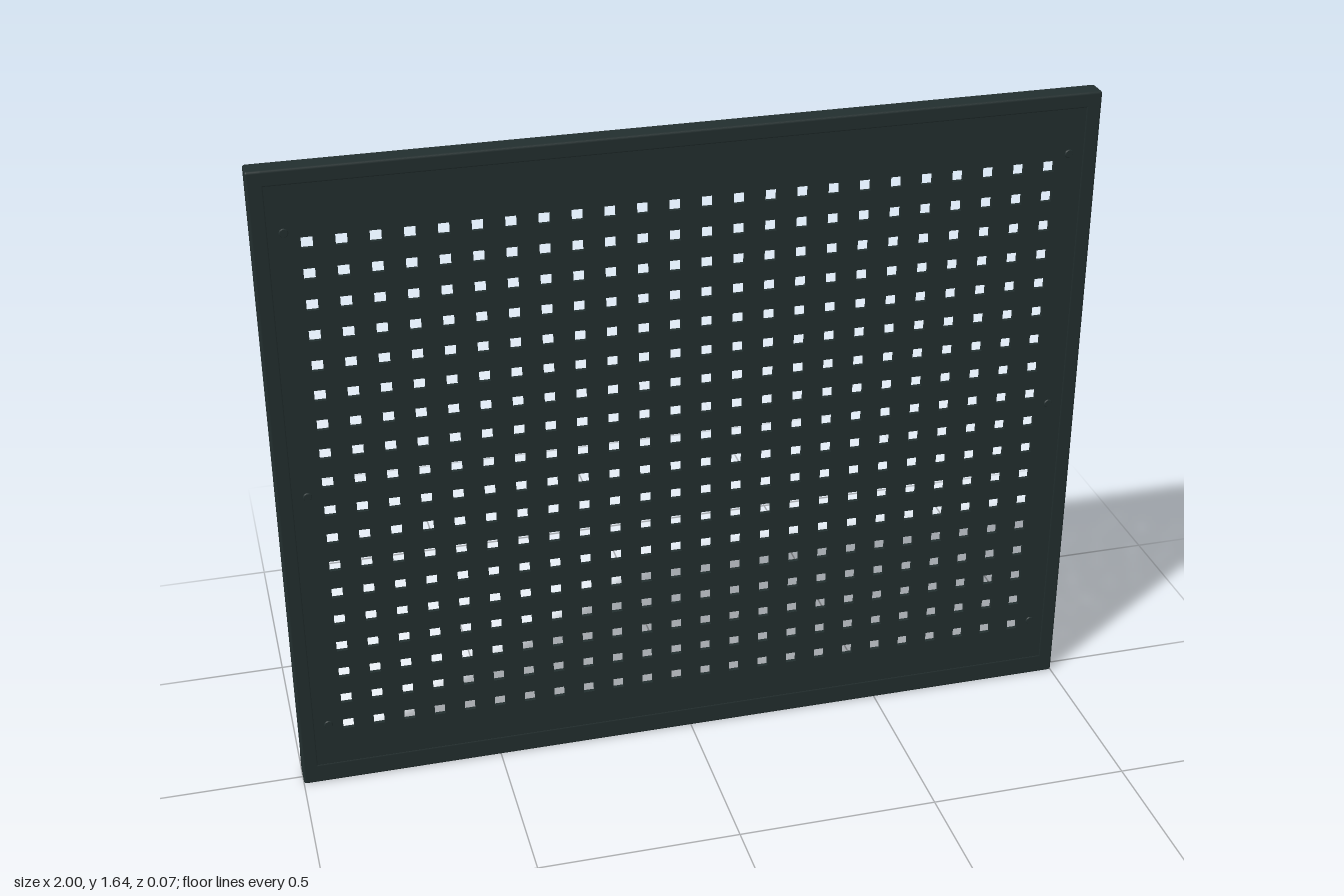
import * as THREE from 'three';
import { RoundedBoxGeometry } from 'three/addons/geometries/RoundedBoxGeometry.js';

const HEIGHT = 1.64, FRONT = 0.034, BACK = -0.018, LIP_BACK = -0.036;
const SIDE = 0.04, BOTTOM = 0.055;

export function createModel() {
  const model = new THREE.Group();
  const darkMetal = new THREE.MeshStandardMaterial({ color: 0x222e2e });
  darkMetal.name = 'dark green grey metal';

  const add = (geometry, name, x, y, z) => {
    const mesh = new THREE.Mesh(geometry, darkMetal);
    mesh.name = name;
    mesh.position.set(x, y, z);
    model.add(mesh);
    return mesh;
  };

  // Frame bars, softly rounded along their edges
  const bar = (name, x0, x1, y0, y1, z0, z1) => add(
    new RoundedBoxGeometry(x1 - x0, y1 - y0, z1 - z0, 2, 0.006),
    name, (x0 + x1) / 2, (y0 + y1) / 2, (z0 + z1) / 2);
  bar('rightStile', -1, -1 + SIDE, 0, HEIGHT, BACK, FRONT);
  bar('leftStile', 1 - SIDE, 1, 0, HEIGHT, BACK, FRONT);
  bar('topRail', -1, 1, HEIGHT - SIDE, HEIGHT, BACK, FRONT);
  // The bottom rail is deeper and steps out at the back
  bar('bottomRail', -1, 1, 0, BOTTOM, LIP_BACK, FRONT);

  // Thin sheet at the front of the frame with a grid of square holes
  const rect = (path, x0, y0, x1, y1) => path
    .moveTo(x0, y0).lineTo(x1, y0).lineTo(x1, y1).lineTo(x0, y1).closePath();
  const sheet = new THREE.Shape();
  const inset = 0.01; // tucked into the frame bars
  rect(sheet, -1 + SIDE - inset, BOTTOM - inset, 1 - SIDE + inset, HEIGHT - SIDE + inset);
  const columns = 24, rows = 18, pitch = 0.0763, half = 0.0135;
  for (let c = 0; c < columns; c++) {
    for (let r = 0; r < rows; r++) {
      const x = (c - (columns - 1) / 2) * pitch;
      const y = 0.165 + r * pitch;
      const hole = new THREE.Path();
      rect(hole, x - half, y - half, x + half, y + half);
      sheet.holes.push(hole);
    }
  }
  const sheetDepth = 0.01;
  add(new THREE.ExtrudeGeometry(sheet, { depth: sheetDepth, bevelEnabled: false }),
    'perforatedPanel', 0, 0, FRONT - 0.001 - sheetDepth);

  // Low round screw heads down both sides
  const screw = new THREE.CylinderGeometry(0.009, 0.012, 0.005, 16).rotateX(Math.PI / 2);
  for (const x of [-0.927, 0.927]) {
    for (const y of [0.17, 0.82, 1.49]) add(screw, 'screwHead', x, y, FRONT - 0.0005);
  }
  return model;
}
